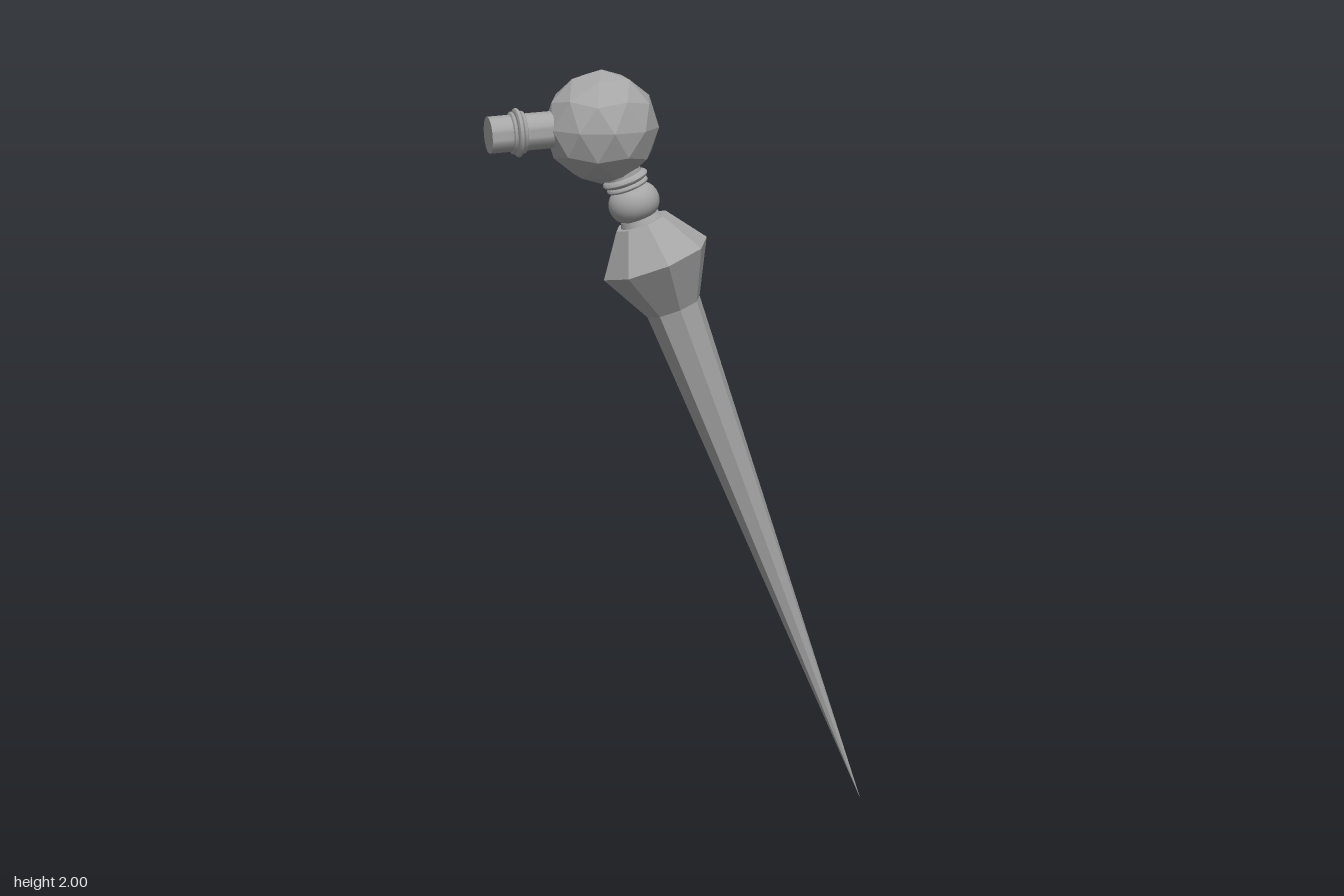
import * as THREE from 'three';
import { toCreasedNormals } from 'three/addons/utils/BufferGeometryUtils.js';

const steel = new THREE.MeshStandardMaterial({ color: 0xa6a6a6 });
steel.name = 'grey steel';

function part(name, geometry, parent) {
  const mesh = new THREE.Mesh(geometry, steel);
  mesh.name = name;
  parent.add(mesh);
  return mesh;
}

// Turned solid from [radius, height] pairs, listed from bottom to top
function turned(profile, sides, crease) {
  const points = profile.map(([r, y]) => new THREE.Vector2(r, y));
  return toCreasedNormals(new THREE.LatheGeometry(points, sides), crease);
}

// Rounded bead outline: half-ellipse bulging out from a core radius
function bead(core, bulge, centre, half, steps = 8) {
  const out = [];
  for (let i = 0; i <= steps; i++) {
    const a = -Math.PI / 2 + (Math.PI * i) / steps;
    out.push([core + bulge * Math.cos(a), centre + half * Math.sin(a)]);
  }
  return out;
}

export function createModel() {
  const model = new THREE.Group();
  model.name = 'spike';

  // Leaning shaft: its tip is the local origin and its axis is local y
  const shaft = new THREE.Group();
  shaft.name = 'shaft';
  shaft.position.set(0.515, 0, 0);
  shaft.rotation.z = THREE.MathUtils.degToRad(20.9);
  model.add(shaft);

  // Eight-sided blade with flared shoulder
  part('blade', turned([
    [0, 0], [0.077, 1.446], [0.152, 1.587], [0.073, 1.697], [0, 1.697],
  ], 8, 0.01), shaft);

  // Turned neck: collar, large bead, then small rings under the ball
  part('neck', turned([
    [0.06, 1.69], [0.052, 1.712],
    ...bead(0.03, 0.04, 1.752, 0.046, 12),
    [0.046, 1.795],
    ...bead(0.05, 0.008, 1.803, 0.007, 6),
    ...bead(0.052, 0.011, 1.821, 0.009, 6),
    [0.05, 1.832], [0.05, 1.87],
  ], 32, 0.6), shaft);

  // Faceted ball, one vertex turned straight up
  const ballGeometry = new THREE.IcosahedronGeometry(0.155, 1);
  ballGeometry.rotateZ(Math.atan(2 / (1 + Math.sqrt(5))));
  ballGeometry.computeVertexNormals();
  part('ball', ballGeometry, model).position.set(-0.2, 1.845, 0);

  // Side peg with a triple ring, its outer end on the model's right
  const peg = new THREE.Group();
  peg.name = 'sidePeg';
  peg.position.set(-0.2, 1.849, 0);
  peg.rotation.z = Math.PI / 2 + THREE.MathUtils.degToRad(3);
  model.add(peg);
  part('pegBarrel', turned([
    [0.05, 0.09], [0.05, 0.313], [0, 0.313],
  ], 32, 0.6), peg);
  part('pegRings', turned([
    [0.05, 0.212],
    ...bead(0.05, 0.008, 0.219, 0.006, 6),
    ...bead(0.055, 0.012, 0.233, 0.008, 6),
    ...bead(0.05, 0.008, 0.247, 0.006, 6),
    [0.05, 0.254],
  ], 32, 0.6), peg);

  return model;
}
